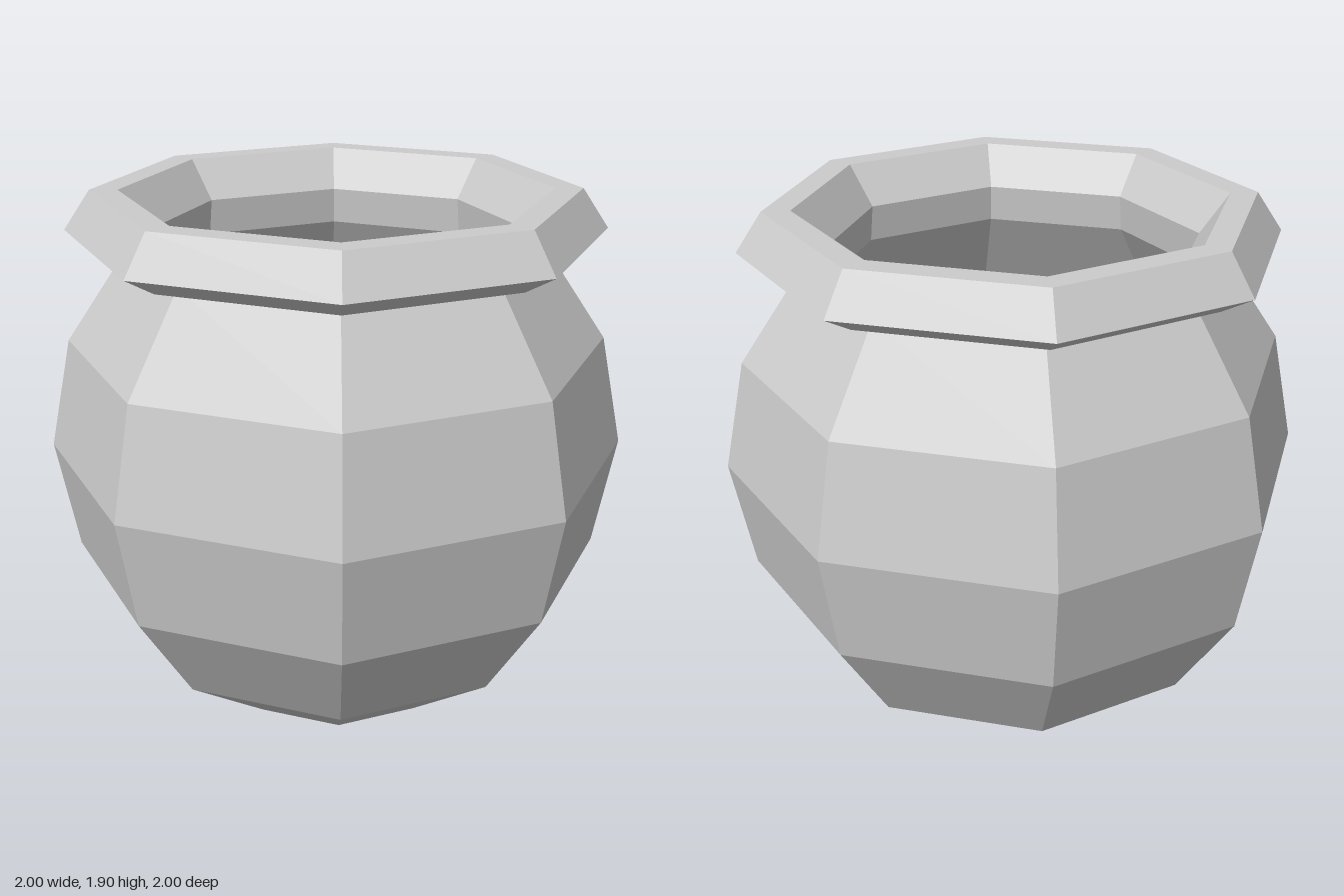
import * as THREE from 'three';

const SIDES = 8;

// Points on a half circle around (0, 1), listed by ring number; ring 0 is the bottom pole.
function ringPoint(radius, ring) {
  const a = (ring * Math.PI) / SIDES;
  return [ring === 0 ? 0 : radius * Math.sin(a), 1 - radius * Math.cos(a)];
}

// Faceted eight-sided turning of a profile.
function turned(name, profile, material) {
  const points = profile.map(([r, y]) => new THREE.Vector2(r, y));
  const geometry = new THREE.LatheGeometry(points, SIDES).toNonIndexed();
  geometry.computeVertexNormals();
  const mesh = new THREE.Mesh(geometry, material);
  mesh.name = name;
  return mesh;
}

export function createModel() {
  const clay = new THREE.MeshStandardMaterial({ color: 0xcccccc, side: THREE.DoubleSide });
  clay.name = 'pale grey clay';

  const pot = new THREE.Group();
  pot.name = 'pot';
  const throat = [0.63, 1.77];
  const rings = [0, 1, 2, 3, 4, 5, 6];

  // Round outer wall, closing in under the rim
  const outer = rings.map((i) => ringPoint(1, i));
  pot.add(turned('outerWall', [...outer, throat], clay));

  // Hollow inside, from the throat down to the floor
  const inner = rings.map((i) => ringPoint(0.91, i)).reverse();
  pot.add(turned('innerWall', [throat, ...inner], clay));

  // Overhanging rim with a sloped mouth, flat top and turned-under lip
  const rim = [[0.8, 1.705], [0.915, 1.77], [0.825, 1.905], [0.73, 1.905], throat];
  pot.add(turned('rim', rim, clay));

  return pot;
}
